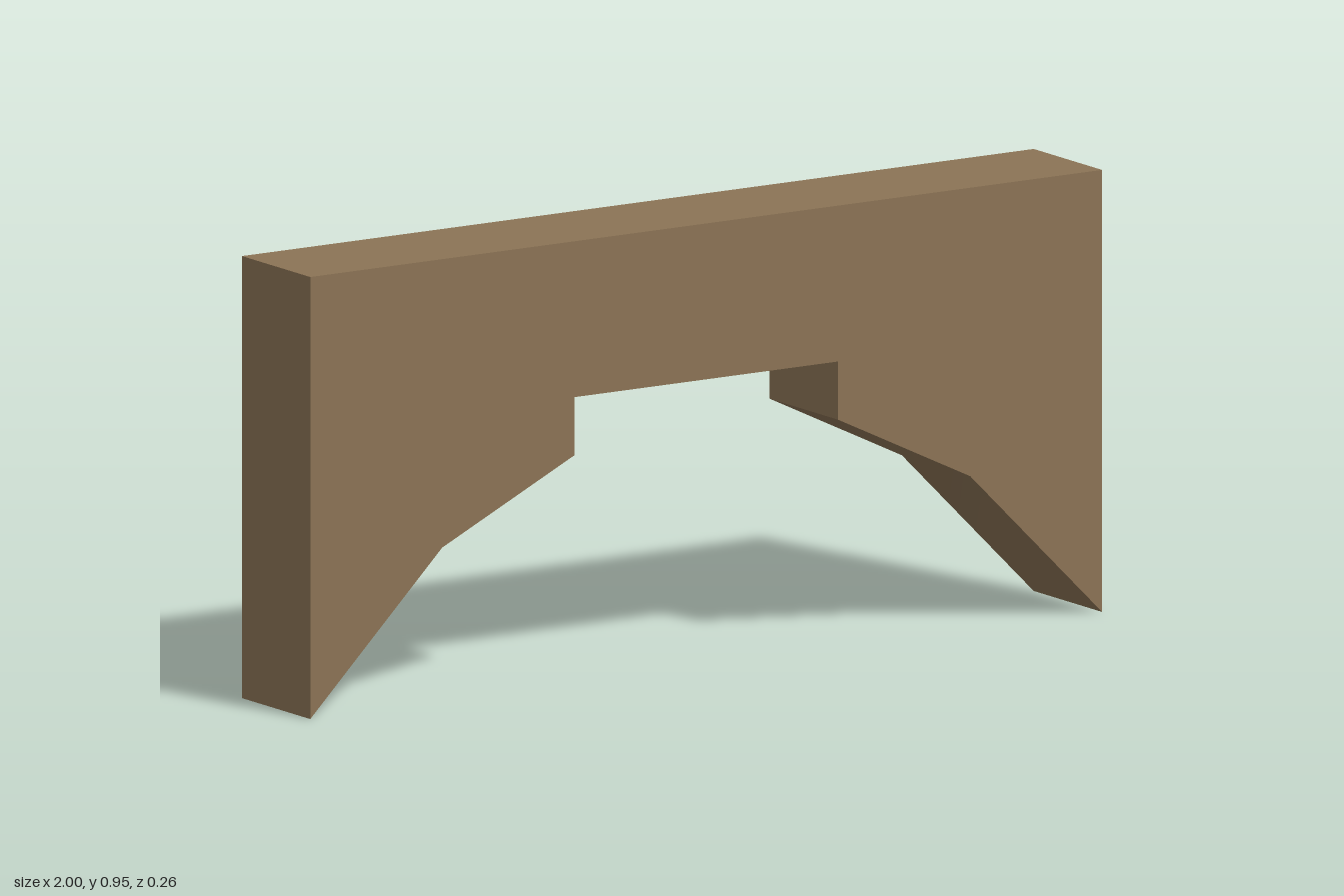
import * as THREE from 'three';
import { toCreasedNormals } from 'three/addons/utils/BufferGeometryUtils.js';

const DEPTH = 0.26;

export function createModel() {
  const model = new THREE.Group();
  model.name = 'archedBeam';

  const wood = new THREE.MeshStandardMaterial({ color: 0x8b7355 });
  wood.name = 'brown wood';

  // Right half of the outline, from the top corner down and along the stepped arch
  const half = [[1, 0.95], [1, 0], [0.667, 0.33], [0.333, 0.49], [0.333, 0.615]];
  const mirrored = half.map(([x, y]) => [-x, y]).reverse();
  const outline = [...half, ...mirrored].map(([x, y]) => new THREE.Vector2(x, y));

  // Solid arch; the shallow bend underneath is smooth, all other edges are sharp
  const solid = new THREE.ExtrudeGeometry(new THREE.Shape(outline), { depth: DEPTH, bevelEnabled: false });
  solid.translate(0, 0, -DEPTH / 2);
  const arch = new THREE.Mesh(toCreasedNormals(solid, Math.PI / 6), wood);
  arch.name = 'arch';
  model.add(arch);

  return model;
}
